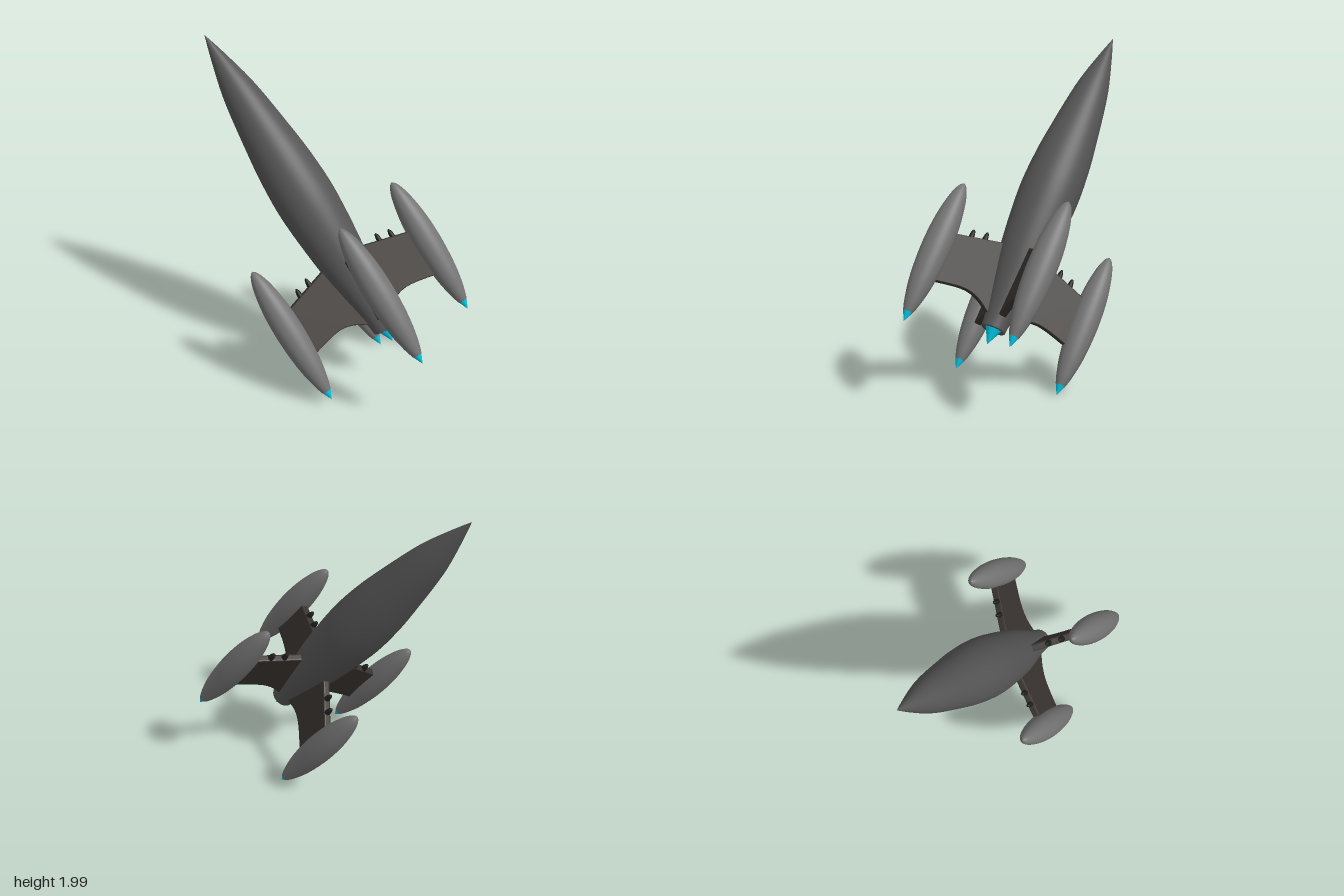
import * as THREE from 'three';

const mat = (color) => new THREE.MeshStandardMaterial({ color });
const hullMat = mat(0x555555);
const podMat = mat(0x747474);
const finMat = mat(0x38332f);
const gunMat = mat(0x1e1e1e);
const glowMat = mat(0x00c8e6);

const vec2 = (list) => list.map(([x, y]) => new THREE.Vector2(x, y));

function addMesh(parent, name, geometry, material) {
  const mesh = new THREE.Mesh(geometry, material);
  mesh.name = name;
  parent.add(mesh);
  return mesh;
}

// Smooth body of revolution through [radius, height] points, listed from the bottom up
function spindle(profile, segments = 40) {
  const points = new THREE.SplineCurve(vec2(profile)).getPoints(48);
  points.forEach((p) => { p.x = Math.max(p.x, 0); });
  return new THREE.LatheGeometry(points, segments);
}

// Exhaust flame: a cone pointing down with its tip at y = 0
function flame(radius, height) {
  return new THREE.ConeGeometry(radius, height, 24).rotateX(Math.PI).translate(0, height / 2, 0);
}

// Swept fin in the (radius, height) plane, root buried in the hull, tip in the pod
function finGeometry() {
  const shape = new THREE.Shape();
  shape.moveTo(0.03, 0.15);
  shape.lineTo(0.085, 0.17);
  shape.splineThru(vec2([[0.15, 0.21], [0.22, 0.23], [0.3, 0.225], [0.42, 0.198]]));
  shape.lineTo(0.46, 0.2);
  shape.lineTo(0.46, 0.49);
  shape.lineTo(0.41, 0.51);
  shape.lineTo(0.15, 0.585);
  shape.lineTo(0.03, 0.585);
  shape.closePath();
  const geometry = new THREE.ExtrudeGeometry(shape, {
    depth: 0.024, bevelEnabled: true, bevelThickness: 0.01, bevelSize: 0.006,
    bevelOffset: -0.006, bevelSegments: 2, curveSegments: 16,
  });
  return geometry.translate(0, 0, -0.012);
}

export function createModel() {
  const rocket = new THREE.Group();
  rocket.name = 'rocket';

  // Main hull
  addMesh(rocket, 'hull', spindle([
    [0.072, 0.094], [0.084, 0.2], [0.115, 0.37], [0.152, 0.6], [0.18, 0.95],
    [0.173, 1.2], [0.148, 1.43], [0.103, 1.74], [0.046, 1.97], [0, 2.124],
  ], 56), hullMat);
  addMesh(rocket, 'nozzle', new THREE.LatheGeometry(
    vec2([[0, 0.104], [0.058, 0.104], [0.064, 0.09], [0.072, 0.094]]), 40), hullMat);
  addMesh(rocket, 'mainFlame', flame(0.05, 0.104), glowMat);

  // Shared parts of the four fin assemblies
  const fin = finGeometry();
  const gun = new THREE.SphereGeometry(1, 16, 12).scale(0.017, 0.06, 0.02);
  const pod = spindle([
    [0.028, 0.06], [0.046, 0.12], [0.068, 0.23], [0.081, 0.36], [0.085, 0.5],
    [0.077, 0.65], [0.054, 0.79], [0.026, 0.872], [0, 0.9],
  ]);
  const podFlame = flame(0.028, 0.062);

  for (let i = 0; i < 4; i++) {
    const arm = new THREE.Group();
    arm.name = 'finAssembly' + (i + 1);
    arm.rotation.y = -0.655 + i * Math.PI / 2;

    addMesh(arm, 'fin', fin, finMat);
    // Guns along the leading edge
    for (const r of [0.25, 0.33]) {
      addMesh(arm, 'gun', gun, gunMat).position.set(r, 0.612 - r * 0.27, 0);
    }
    // Engine pod at the fin tip
    const engine = new THREE.Group();
    engine.name = 'enginePod';
    engine.position.set(0.495, -0.09, 0);
    addMesh(engine, 'podBody', pod, podMat);
    addMesh(engine, 'podFlame', podFlame, glowMat);
    arm.add(engine);

    rocket.add(arm);
  }

  // Lean the rocket over in its climbing pose
  rocket.rotation.set(0.011, 0, 0.658);
  rocket.position.set(0.465, 0.317, -0.002);

  const model = new THREE.Group();
  model.name = 'model';
  model.add(rocket);
  return model;
}
